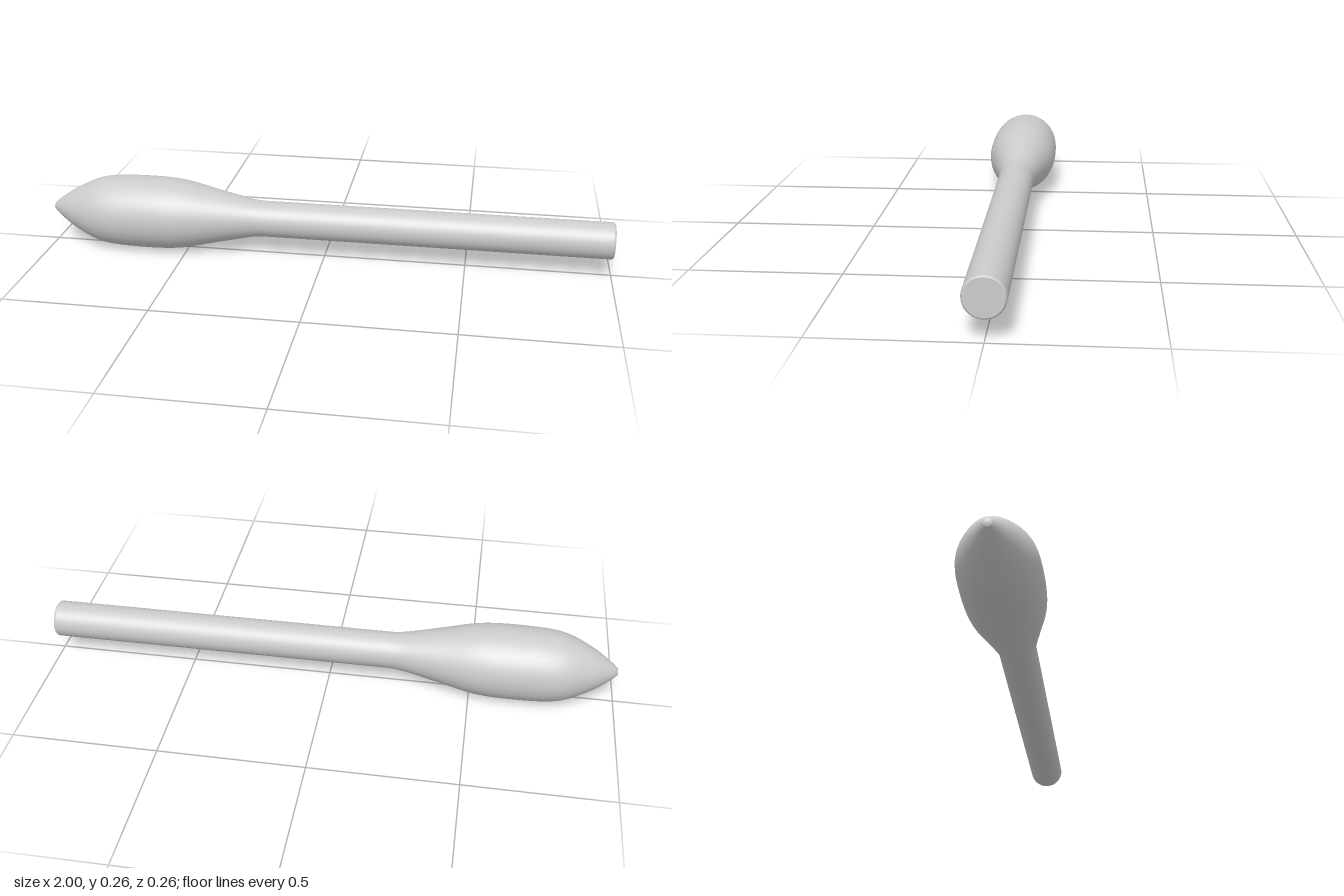
import * as THREE from 'three';

const SEGMENTS = 48;
const ROD_RADIUS = 0.064;
const HEAD_RADIUS = 0.13;

export function createModel() {
  const group = new THREE.Group();
  const material = new THREE.MeshStandardMaterial({ color: 0xcccccc });

  // Adds a surface of revolution whose axis runs along x; points are (radius, x)
  function addTurned(name, points) {
    const geometry = new THREE.LatheGeometry(points, SEGMENTS);
    geometry.rotateZ(-Math.PI / 2);
    const mesh = new THREE.Mesh(geometry, material);
    mesh.name = name;
    mesh.position.y = HEAD_RADIUS;
    group.add(mesh);
  }

  // Swollen bud-shaped head, tapering into the rod
  const headCurve = new THREE.SplineCurve([
    [0.012, -0.998], [0.036, -0.97], [0.081, -0.9], [0.121, -0.8],
    [HEAD_RADIUS, -0.655], [0.124, -0.52], [0.096, -0.39],
    [0.07, -0.27], [ROD_RADIUS, -0.22],
  ].map(([r, x]) => new THREE.Vector2(r, x)));
  addTurned('head', [new THREE.Vector2(0, -1), ...headCurve.getPoints(40)]);

  // Straight rod with a small softened rim
  addTurned('rod', [
    [ROD_RADIUS, -0.22], [ROD_RADIUS, 0.99], [0.063, 0.996], [0.059, 1],
  ].map(([r, x]) => new THREE.Vector2(r, x)));

  // Flat end of the rod
  const cap = new THREE.Mesh(new THREE.CircleGeometry(0.059, SEGMENTS), material);
  cap.name = 'rodEnd';
  cap.rotation.y = Math.PI / 2;
  cap.position.set(1, HEAD_RADIUS, 0);
  group.add(cap);

  return group;
}
